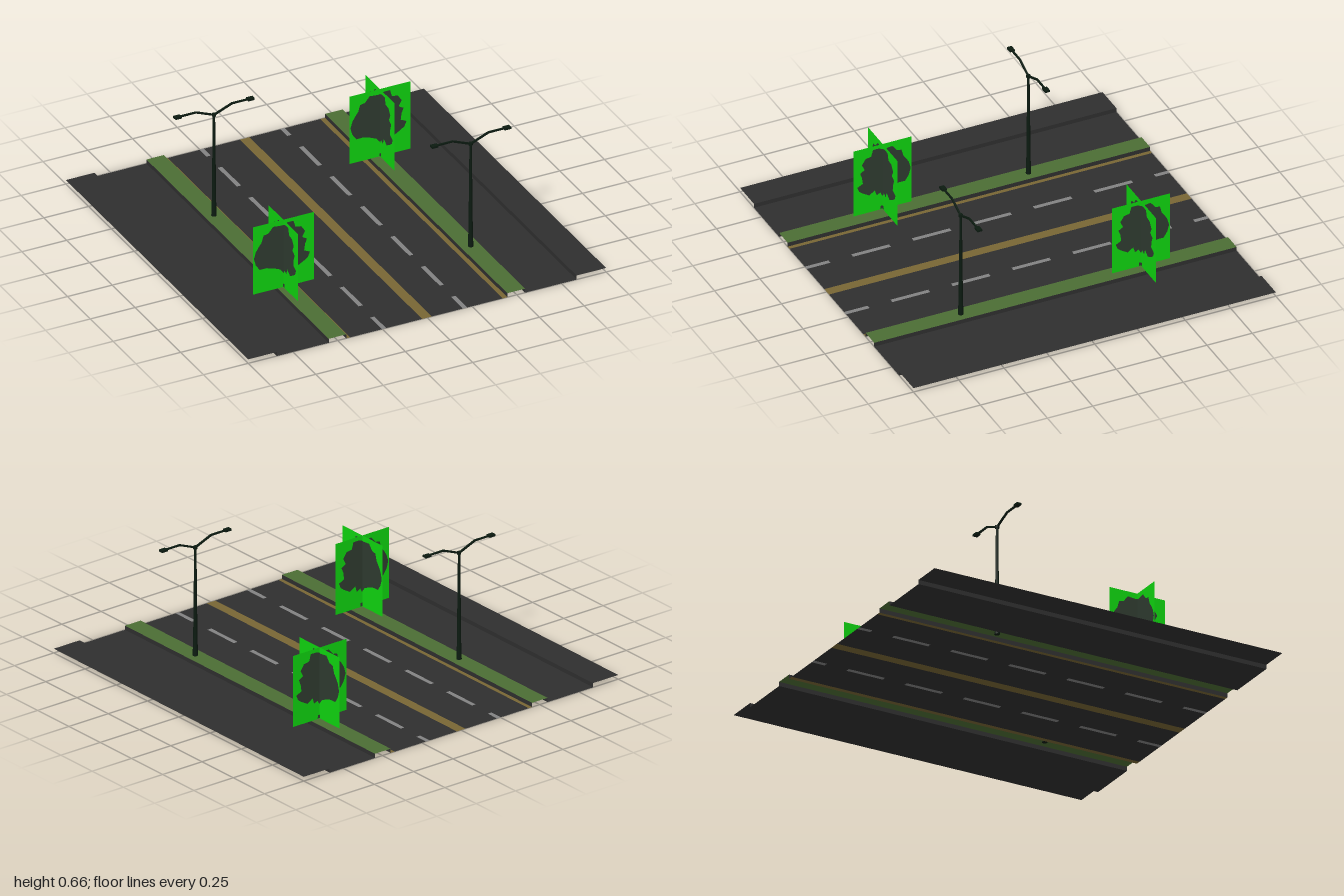
import * as THREE from 'three';

const mat = (name, color) => new THREE.MeshStandardMaterial({ name, color, side: THREE.DoubleSide });

export function createModel() {
  const model = new THREE.Group();
  model.name = 'roadSection';

  const asphalt = mat('asphalt', 0x2f2f2f);
  const grass = mat('grass', 0x4c6e34);
  const yellow = mat('yellow paint', 0x786634);
  const white = mat('worn white paint', 0x828282);
  const lampMetal = mat('lamp metal', 0x0b1a10);
  const leafPanel = mat('bright green', 0x0fd40f);
  const foliage = mat('dark foliage', 0x2f3b30);

  // Flat piece of the sheet from (x0, y0) to (x1, y1), running along z
  function strip(name, material, x0, y0, x1, y1, z0 = -1, z1 = 1) {
    const geo = new THREE.PlaneGeometry(Math.hypot(x1 - x0, y1 - y0), z1 - z0);
    geo.rotateX(-Math.PI / 2);
    geo.rotateZ(Math.atan2(y1 - y0, x1 - x0));
    const mesh = new THREE.Mesh(geo, material);
    mesh.name = name;
    mesh.position.set((x0 + x1) / 2, (y0 + y1) / 2, (z0 + z1) / 2);
    model.add(mesh);
  }

  // Road cross-section: [name, material, end x, end y], joined end to end
  const H = 0.023;
  const section = [
    ['leftWalk', asphalt, -0.84, H], ['walkKerb', asphalt, -0.84, 0],
    ['sideLane', asphalt, -0.55, 0], ['medianKerb', asphalt, -0.55, H],
    ['grassMedian', grass, -0.452, H], ['medianKerb', asphalt, -0.452, 0],
    ['edgeLine', yellow, -0.43, 0], ['lane', asphalt, -0.253, 0],
    ['laneDashes', null, -0.229, 0], ['lane', asphalt, -0.028, 0],
    ['centreLine', yellow, 0.026, 0], ['lane', asphalt, 0.2, 0],
    ['laneDashes', null, 0.224, 0], ['lane', asphalt, 0.422, 0],
    ['edgeLine', yellow, 0.448, 0], ['medianKerb', asphalt, 0.448, H],
    ['grassMedian', grass, 0.547, H], ['medianKerb', asphalt, 0.547, 0],
    ['sideLane', asphalt, 0.835, 0], ['walkKerb', asphalt, 0.835, H],
    ['rightWalk', asphalt, 1, H],
  ];
  let px = -1, py = H;
  for (const [name, material, x, y] of section) {
    if (material) {
      strip(name, material, px, py, x, y);
    } else {
      // Dashed column: paint and bare asphalt alternate
      for (let z = -1.134; z < 1; z += 0.334) {
        const end = Math.min(z + 0.209, 1);
        strip('laneDash', white, px, py, x, y, Math.max(z, -1), end);
        if (end < 1) strip('dashGap', asphalt, px, py, x, y, end, Math.min(z + 0.334, 1));
      }
    }
    px = x; py = y;
  }

  // Tree: two crossed panels, each with a canopy silhouette set into it
  const canopy = [
    [1, 35], [3, 42], [7, 48], [14, 48], [21, 50], [28, 53], [32, 58], [34, 54], [38, 56],
    [40, 50], [46, 54], [53, 50], [57, 47], [59, 42], [53, 39], [54, 32], [56, 27], [51, 24],
    [54, 18], [50, 12], [44, 11], [42, 4], [36, 4], [30, 6], [21, 5], [16, 11], [11, 12],
    [9, 19], [6, 23], [3, 28],
  ];
  const trunk = [[31.5, 69], [33.5, 69], [34, 72.5], [31, 72.5]];
  const toPoints = (list) => list.map(([u, v]) => new THREE.Vector2(u / 63 - 0.5, 1 - v / 73));

  const panelShape = new THREE.Shape([[-0.5, 0], [0.5, 0], [0.5, 1], [-0.5, 1]]
    .map(([x, y]) => new THREE.Vector2(x, y)));
  const darkShapes = [canopy, trunk].map((list) => new THREE.Shape(toPoints(list)));
  panelShape.holes = [canopy, trunk].map((list) => new THREE.Path(toPoints(list)));
  const panelGeo = new THREE.ShapeGeometry(panelShape);
  const canopyGeo = new THREE.ShapeGeometry(darkShapes);

  function addTree(x, z) {
    const tree = new THREE.Group();
    tree.name = 'tree';
    for (const [width, turn] of [[0.34, 0], [0.32, -Math.PI / 2]]) {
      for (const [name, geo, material] of [
        ['treePanel', panelGeo, leafPanel], ['treeCanopy', canopyGeo, foliage]]) {
        const mesh = new THREE.Mesh(geo, material);
        mesh.name = name;
        mesh.scale.set(width, 0.387, 1);
        mesh.rotation.y = turn;
        tree.add(mesh);
      }
    }
    tree.position.set(x, 0.026, z);
    model.add(tree);
  }
  addTree(-0.52, 0.443);
  addTree(0.498, -0.496);

  // Double-armed street lamp
  function addLamp(x, y, z) {
    const lamp = new THREE.Group();
    lamp.name = 'streetLamp';
    const add = (name, geo, px, py, tilt = 0) => {
      const mesh = new THREE.Mesh(geo, lampMetal);
      mesh.name = name;
      mesh.position.set(px, py, 0);
      mesh.rotation.z = tilt;
      lamp.add(mesh);
    };
    add('lampBase', new THREE.CylinderGeometry(0.011, 0.014, 0.1, 12), 0, 0.05);
    add('lampPole', new THREE.CylinderGeometry(0.006, 0.011, 0.49, 12), 0, 0.345);
    add('poleCap', new THREE.CylinderGeometry(0.011, 0.011, 0.014, 12), 0, 0.59);
    for (const s of [-1, 1]) {
      const rise = 0.04, run = 0.1;
      add('slopedArm', new THREE.BoxGeometry(Math.hypot(run, rise), 0.009, 0.009),
        s * run / 2, 0.59 + rise / 2, s * Math.atan2(rise, run));
      add('levelArm', new THREE.BoxGeometry(0.1, 0.008, 0.009), s * 0.148, 0.63);
      add('lampHead', new THREE.BoxGeometry(0.036, 0.011, 0.026), s * 0.203, 0.63);
    }
    lamp.position.set(x, y, z);
    model.add(lamp);
  }
  addLamp(0.498, 0.021, 0.499);
  addLamp(-0.502, 0.011, -0.353);

  return model;
}
